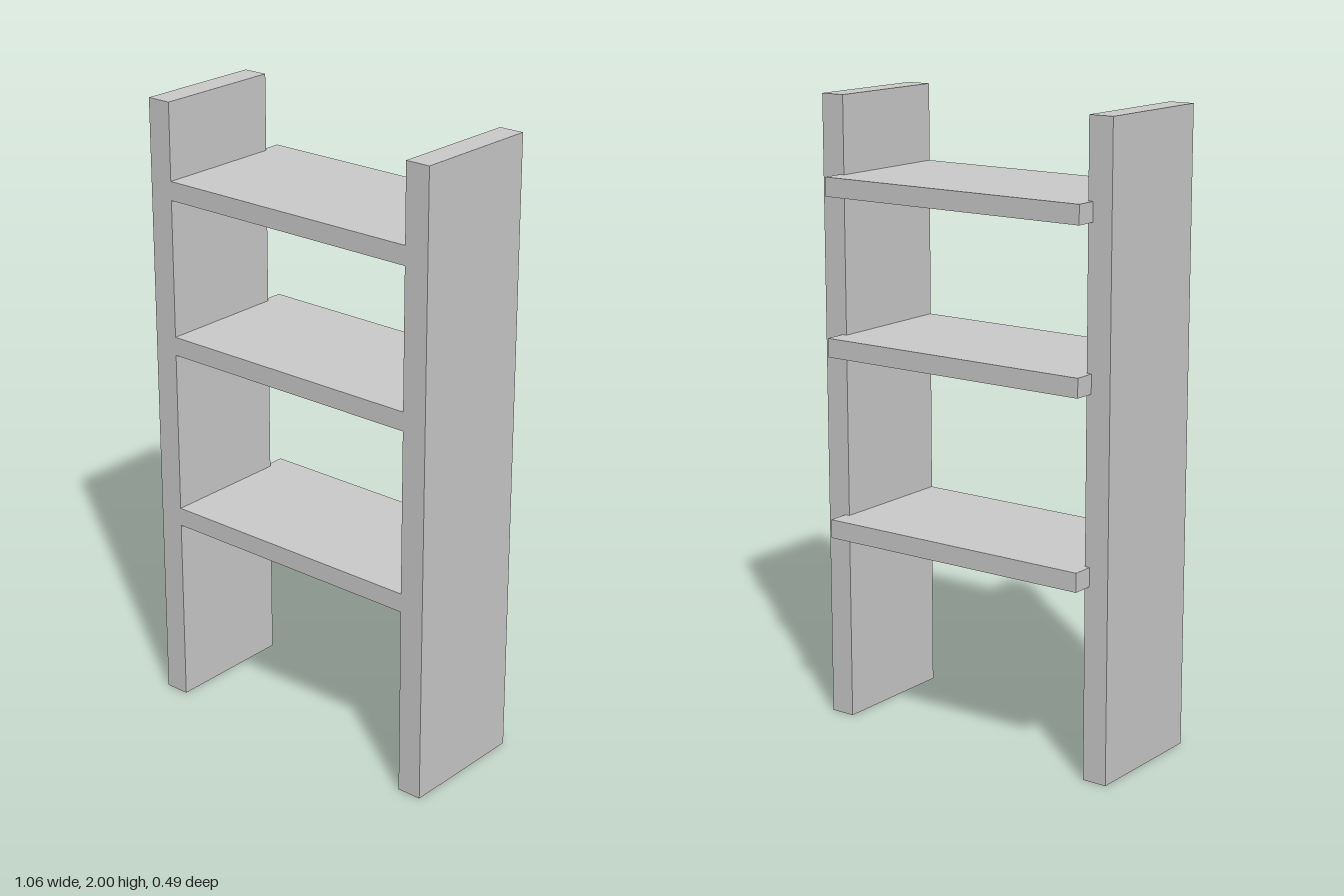
import * as THREE from 'three';

const FRONT = 0.247, BACK = -0.247, PANEL_BACK = -0.178;
const INNER = 0.451, OUTER = 0.532, LIP = 0.467;
const THICKNESS = 0.06;

export function createModel() {
  const model = new THREE.Group();
  model.name = 'shelfUnit';
  const material = new THREE.MeshStandardMaterial({ color: 0xcccccc, flatShading: true });

  // Upright side panels
  const panelGeometry = new THREE.BoxGeometry(OUTER - INNER, 2, FRONT - PANEL_BACK);
  for (const [name, side] of [['leftPanel', 1], ['rightPanel', -1]]) {
    const panel = new THREE.Mesh(panelGeometry, material);
    panel.name = name;
    panel.position.set(side * (INNER + OUTER) / 2, 1, (FRONT + PANEL_BACK) / 2);
    model.add(panel);
  }

  // Shelf outline seen from above (shape y is -z): the rear lip hooks behind the panels
  const half = [[INNER, -FRONT], [INNER, -PANEL_BACK], [LIP, -PANEL_BACK], [LIP, -BACK]];
  const mirrored = half.map(([x, y]) => [-x, y]).reverse();
  const outline = new THREE.Shape([...half, ...mirrored].map(([x, y]) => new THREE.Vector2(x, y)));
  const shelfGeometry = new THREE.ExtrudeGeometry(outline, { depth: THICKNESS, bevelEnabled: false });
  shelfGeometry.rotateX(-Math.PI / 2);

  // Three shelves, placed by their undersides
  [['lowerShelf', 0.613], ['middleShelf', 1.196], ['upperShelf', 1.696]].forEach(([name, y]) => {
    const shelf = new THREE.Mesh(shelfGeometry, material);
    shelf.name = name;
    shelf.position.y = y;
    model.add(shelf);
  });

  return model;
}
